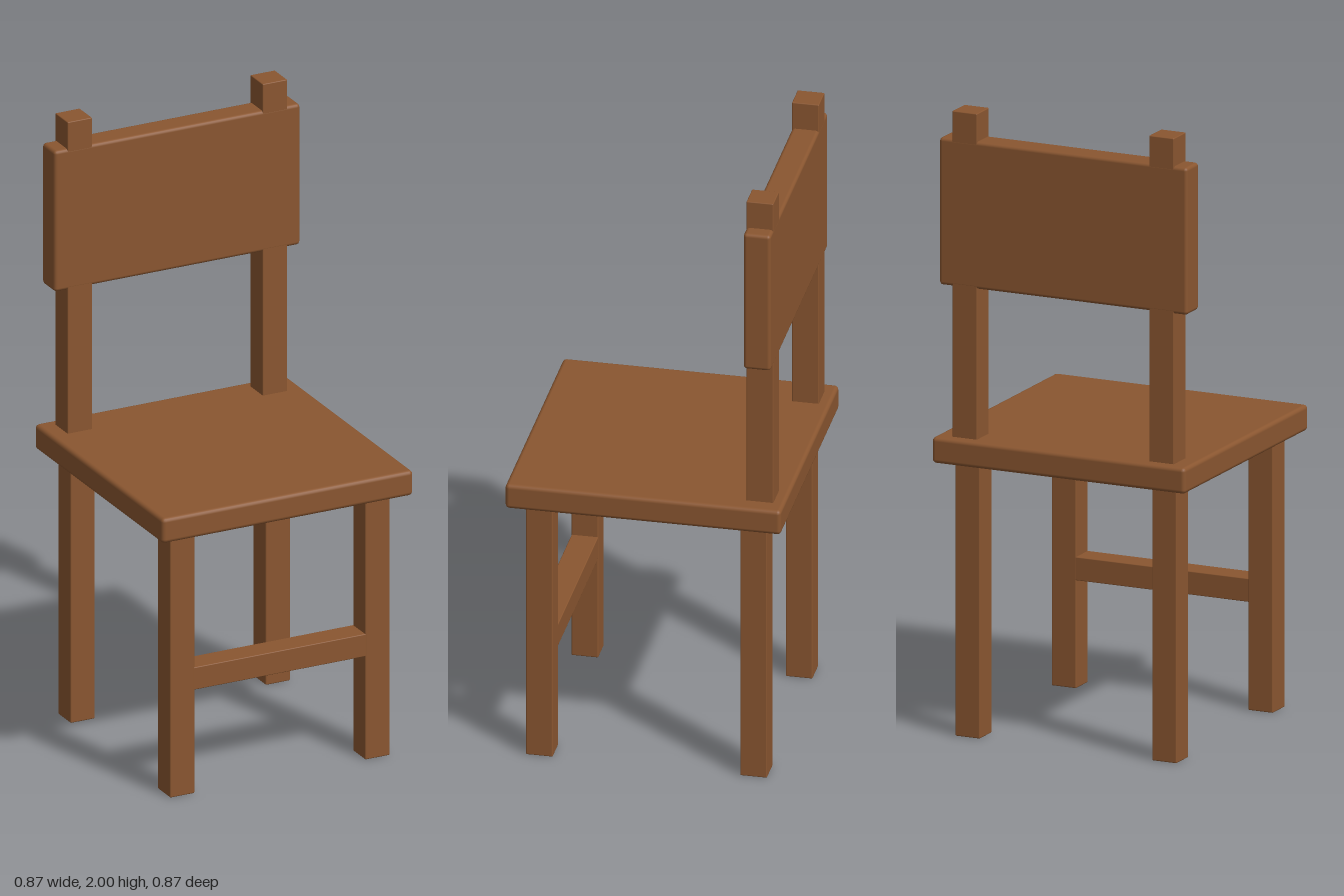
import * as THREE from 'three';
import { RoundedBoxGeometry } from 'three/addons/geometries/RoundedBoxGeometry.js';

export function createModel() {
  const chair = new THREE.Group();
  chair.name = 'chair';
  const wood = new THREE.MeshStandardMaterial({ color: 0x8a5630 });
  wood.name = 'brown wood';

  // Wooden board with softened edges, given by its centre, base height and size
  function board(name, x, y0, z, w, h, d, radius) {
    const mesh = new THREE.Mesh(new RoundedBoxGeometry(w, h, d, 2, radius), wood);
    mesh.name = name;
    mesh.position.set(x, y0 + h / 2, z);
    chair.add(mesh);
  }

  const T = 0.085; // thickness of legs, posts and rails
  const legX = 0.338;

  board('seat', 0, 0.877, 0, 0.87, 0.083, 0.87, 0.013);

  // Legs and back posts, mirrored left and right
  for (const [side, s] of [['left', 1], ['right', -1]]) {
    board(side + 'FrontLeg', s * legX, 0, legX, T, 0.88, T, 0.004);
    board(side + 'BackLeg', s * legX, 0, -legX, T, 0.88, T, 0.004);
    board(side + 'BackPost', s * legX, 0.872, -0.358, T, 1.128, T, 0.003);
  }

  // Backrest panel, flush with the posts
  board('backrest', 0, 1.44, -0.358, 0.852, 0.47, 0.086, 0.011);

  // Stretcher between the front legs
  board('frontStretcher', 0, 0.345, legX, 0.6, 0.075, T - 0.001, 0.003);

  return chair;
}
